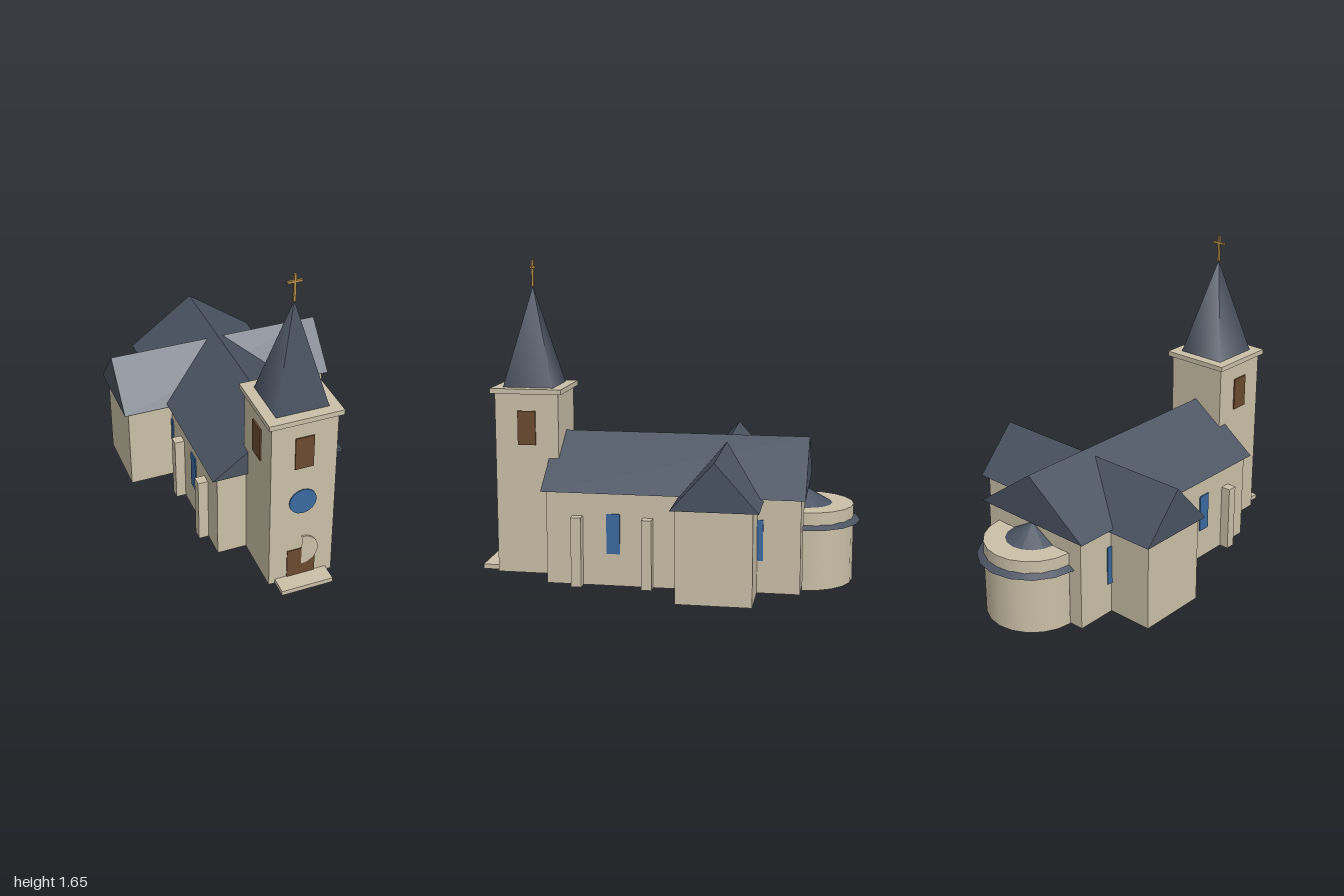
import * as THREE from 'three';

const material = (color) => new THREE.MeshStandardMaterial({ color });

export function createModel() {
  const church = new THREE.Group();
  const stone = material(0xcbc0a8);
  const slate = material(0x4a5362);
  const wood = material(0x6b4a2f);
  const glass = material(0x3b6aa0);
  const gold = material(0xb08d4a);

  const add = (name, geometry, mat, x = 0, y = 0, z = 0) => {
    const mesh = new THREE.Mesh(geometry, mat);
    mesh.name = name;
    mesh.position.set(x, y, z);
    church.add(mesh);
    return mesh;
  };
  // Box given by its centre in x and z and its bottom in y
  const box = (name, mat, w, h, d, x, y, z) =>
    add(name, new THREE.BoxGeometry(w, h, d), mat, x, y + h / 2, z);
  // Gabled roof with its ridge along z
  const gable = (halfWidth, height, length) => {
    const shape = new THREE.Shape();
    shape.moveTo(-halfWidth, 0);
    shape.lineTo(halfWidth, 0);
    shape.lineTo(0, height);
    shape.closePath();
    return new THREE.ExtrudeGeometry(shape, { depth: length, bevelEnabled: false })
      .translate(0, 0, -length / 2);
  };

  // Nave and transept
  box('nave', stone, 0.65, 0.49, 1.305, 0, 0, -0.0575);
  add('naveRoof', gable(0.356, 0.26, 1.35), slate, 0, 0.49, -0.057);
  box('transept', stone, 1.14, 0.475, 0.38, 0, 0, -0.302);
  add('transeptRoof', gable(0.218, 0.243, 1.19).rotateY(Math.PI / 2), slate, 0, 0.475, -0.305);

  // Windows and buttresses along both sides of the nave
  for (const side of [-1, 1]) {
    for (const z of [0.245, -0.12, -0.487]) {
      box('naveWindow', glass, 0.02, 0.21, 0.07, side * 0.321, 0.17, z);
    }
    for (const z of [0.43, 0.065]) {
      box('buttress', stone, 0.065, 0.365, 0.053, side * 0.345, 0, z);
    }
  }

  // Apse, with its half-cone roof cutting through the wall
  add('apse', new THREE.CylinderGeometry(0.25, 0.25, 0.405, 10, 1, false, Math.PI / 2, Math.PI),
    stone, 0, 0.2025, -0.715);
  add('apseRoof', new THREE.ConeGeometry(0.285, 0.167, 8, 1, false, Math.PI / 2, Math.PI),
    slate, 0, 0.4035, -0.715);

  // Tower
  const towerZ = 0.735;
  box('tower', stone, 0.34, 0.965, 0.34, 0, 0, towerZ);
  box('towerCornice', stone, 0.38, 0.027, 0.38, 0, 0.965, towerZ);
  add('spire', new THREE.ConeGeometry(0.191, 0.523, 4).rotateY(Math.PI / 4), slate, 0, 1.2535, towerZ);

  // Belfry openings on front and sides
  box('belfryOpening', wood, 0.096, 0.18, 0.02, 0, 0.695, 0.901);
  for (const side of [-1, 1]) {
    box('belfryOpening', wood, 0.02, 0.18, 0.096, side * 0.168, 0.695, towerZ);
  }

  // Round window, door, half-round door panel and step
  add('roundWindow', new THREE.CylinderGeometry(0.072, 0.072, 0.02, 16).rotateX(Math.PI / 2),
    glass, 0, 0.49, 0.901);
  box('door', wood, 0.15, 0.19, 0.02, 0, 0, 0.9);
  add('doorArch', new THREE.CylinderGeometry(0.088, 0.088, 0.02, 16, 1, false, 0, Math.PI).rotateX(Math.PI / 2),
    stone, 0, 0.18, 0.904);
  box('step', stone, 0.274, 0.025, 0.1, 0, 0, 0.95);

  // Cross
  box('crossPost', gold, 0.012, 0.14, 0.012, 0, 1.512, towerZ);
  box('crossArm', gold, 0.074, 0.012, 0.012, 0, 1.607, towerZ);

  return church;
}
